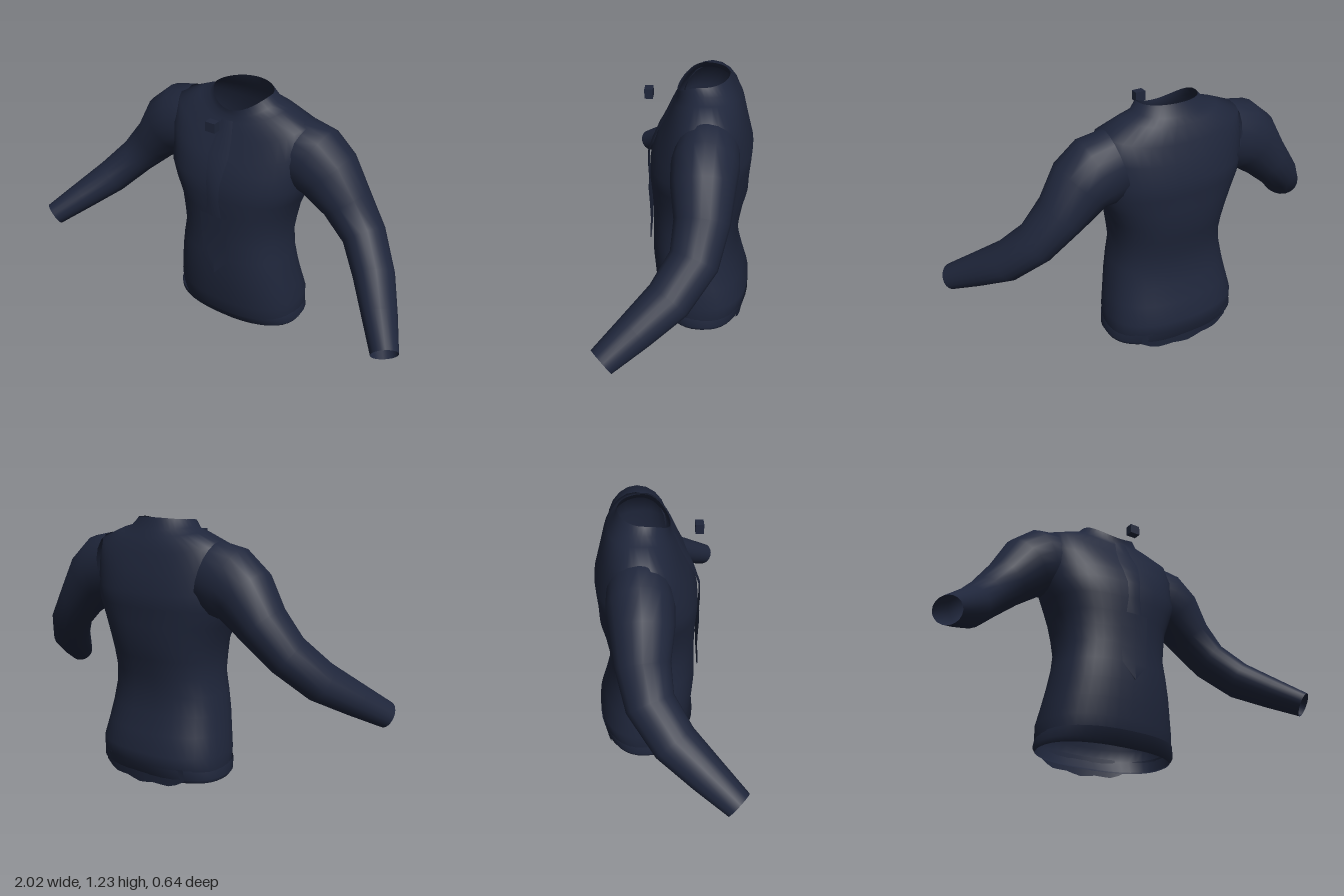
import * as THREE from 'three';

const cloth = new THREE.MeshStandardMaterial({ color: 0x1f263b, side: THREE.DoubleSide });

// Skin a list of point rows into a smooth surface; closed rows wrap around
function skin(rows, closed, name) {
  const n = rows[0].length, index = [];
  for (let i = 0; i < rows.length - 1; i++) {
    for (let j = 0; j < (closed ? n : n - 1); j++) {
      const k = (j + 1) % n;
      const a = i * n + j, b = i * n + k, c = a + n, d = b + n;
      index.push(a, b, c, b, d, c);
    }
  }
  const g = new THREE.BufferGeometry().setFromPoints(rows.flat());
  g.setIndex(index);
  g.computeVertexNormals();
  const mesh = new THREE.Mesh(g, cloth);
  mesh.name = name;
  return mesh;
}

// Body ring whose height may differ at the front, sides and back
function bodyRing([yFront, zFront, ySide, halfWidth, yBack, zBack, power = 2.4]) {
  const bend = (v) => Math.sign(v) * Math.abs(v) ** (2 / power);
  return Array.from({ length: 40 }, (_, j) => {
    const t = (j / 40) * Math.PI * 2, c = Math.cos(t), s = -Math.sin(t);
    const y = ySide * c * c + (s > 0 ? yFront : yBack) * s * s;
    const z = (zFront + zBack) / 2 + ((zFront - zBack) / 2) * bend(s);
    return new THREE.Vector3(halfWidth * bend(c), y, z);
  });
}
const level = (y, w, zf, zb) => [y, zf, y, w, y, zb];

// Tube of elliptical rings set square to the path: x, y, z, radius, depth radius
function sleeve(path) {
  const pts = path.map((p) => new THREE.Vector3(p[0], p[1], p[2]));
  const rows = path.map((p, i) => {
    const T = pts[Math.min(i + 1, pts.length - 1)].clone().sub(pts[Math.max(i - 1, 0)]).normalize();
    const P = new THREE.Vector3(0, 0, 1).cross(T).normalize();
    const Q = T.clone().cross(P);
    return Array.from({ length: 20 }, (_, j) => {
      const t = (j / 20) * Math.PI * 2;
      return pts[i].clone().addScaledVector(P, p[3] * Math.cos(t)).addScaledVector(Q, p[4] * Math.sin(t));
    });
  });
  return skin(rows, true, 'sleeve');
}

// Thin ridged strip, rows from bottom to top: y, half width, z
function strip(list, name) {
  const rows = list.map(([y, w, z]) => [
    new THREE.Vector3(-w, y, z), new THREE.Vector3(0, y, z + 0.006), new THREE.Vector3(w, y, z),
  ]);
  return skin(rows, false, name);
}

export function createModel() {
  const model = new THREE.Group();
  model.name = 'shirt';

  // Torso from hem to collar
  const torso = [
    level(0.045, 0.33, 0.105, -0.285),
    level(0.1, 0.335, 0.125, -0.312),
    level(0.16, 0.335, 0.138, -0.318),
    level(0.25, 0.318, 0.146, -0.292),
    level(0.34, 0.302, 0.154, -0.27),
    level(0.43, 0.287, 0.152, -0.255),
    level(0.52, 0.272, 0.15, -0.266),
    level(0.6, 0.281, 0.152, -0.28),
    level(0.68, 0.293, 0.157, -0.3),
    level(0.76, 0.325, 0.163, -0.303),
    level(0.84, 0.355, 0.16, -0.31),
    level(0.91, 0.36, 0.137, -0.315),
    [0.96, 0.118, 1.02, 0.365, 1.0, -0.292],
    [1.04, 0.075, 1.13, 0.345, 1.08, -0.272],
    [1.11, 0.046, 1.178, 0.23, 1.15, -0.245, 2.2],
    [1.135, 0.033, 1.195, 0.175, 1.18, -0.222, 2.1],
    [1.163, 0.036, 1.228, 0.145, 1.237, -0.2, 2],
  ];
  model.add(skin(torso.map(bodyRing), true, 'torso'));

  // Folded hem band
  const hem = [
    level(0.04, 0.334, 0.1, -0.29),
    level(0.06, 0.344, 0.125, -0.305),
    level(0.105, 0.333, 0.148, -0.318),
  ];
  model.add(skin(hem.map(bodyRing), true, 'hemBand'));

  // Rounded shirt tail hanging below the back hem
  const tail = [0, 1, 2].map((r) => Array.from({ length: 13 }, (_, j) => {
    const u = 1 - j / 6;
    const low = 0.005 + 0.035 * Math.abs(u) ** 3 + 0.006 * (1 - Math.cos(u * 9));
    return new THREE.Vector3(0.24 * u, low + ((0.11 - low) * r) / 2, -0.297 + 0.035 * u * u - 0.006 * r);
  }));
  model.add(skin(tail, false, 'shirtTail'));

  // Sleeves, mirrored
  for (const side of [1, -1]) {
    const arm = sleeve([
      [0.28, 0.985, -0.115, 0.165, 0.14],
      [0.37, 0.962, -0.108, 0.172, 0.148],
      [0.445, 0.915, -0.104, 0.152, 0.14],
      [0.545, 0.8, -0.105, 0.115, 0.12],
      [0.655, 0.68, -0.078, 0.095, 0.108],
      [0.765, 0.56, 0.02, 0.088, 0.1],
      [0.865, 0.47, 0.15, 0.073, 0.083],
      [0.958, 0.386, 0.275, 0.058, 0.064],
    ]);
    arm.name = side > 0 ? 'leftSleeve' : 'rightSleeve';
    arm.scale.x = side;
    model.add(arm);
  }

  // Necktie: narrow upper band and wide pointed blade
  model.add(strip([
    [0.66, 0.045, 0.167], [0.76, 0.032, 0.172], [0.84, 0.036, 0.17], [0.91, 0.046, 0.148],
    [0.97, 0.054, 0.122], [1.04, 0.044, 0.084], [1.12, 0.03, 0.05],
  ], 'tieBand'));
  model.add(strip([
    [0.345, 0.003, 0.17], [0.42, 0.066, 0.167], [0.5, 0.07, 0.163], [0.6, 0.073, 0.166], [0.675, 0.074, 0.17],
  ], 'tieBlade'));

  // Small block in front of the collar
  const knot = new THREE.Mesh(new THREE.BoxGeometry(0.05, 0.046, 0.038), cloth);
  knot.name = 'tieKnot';
  knot.position.set(0, 1.137, 0.165);
  model.add(knot);

  return model;
}
